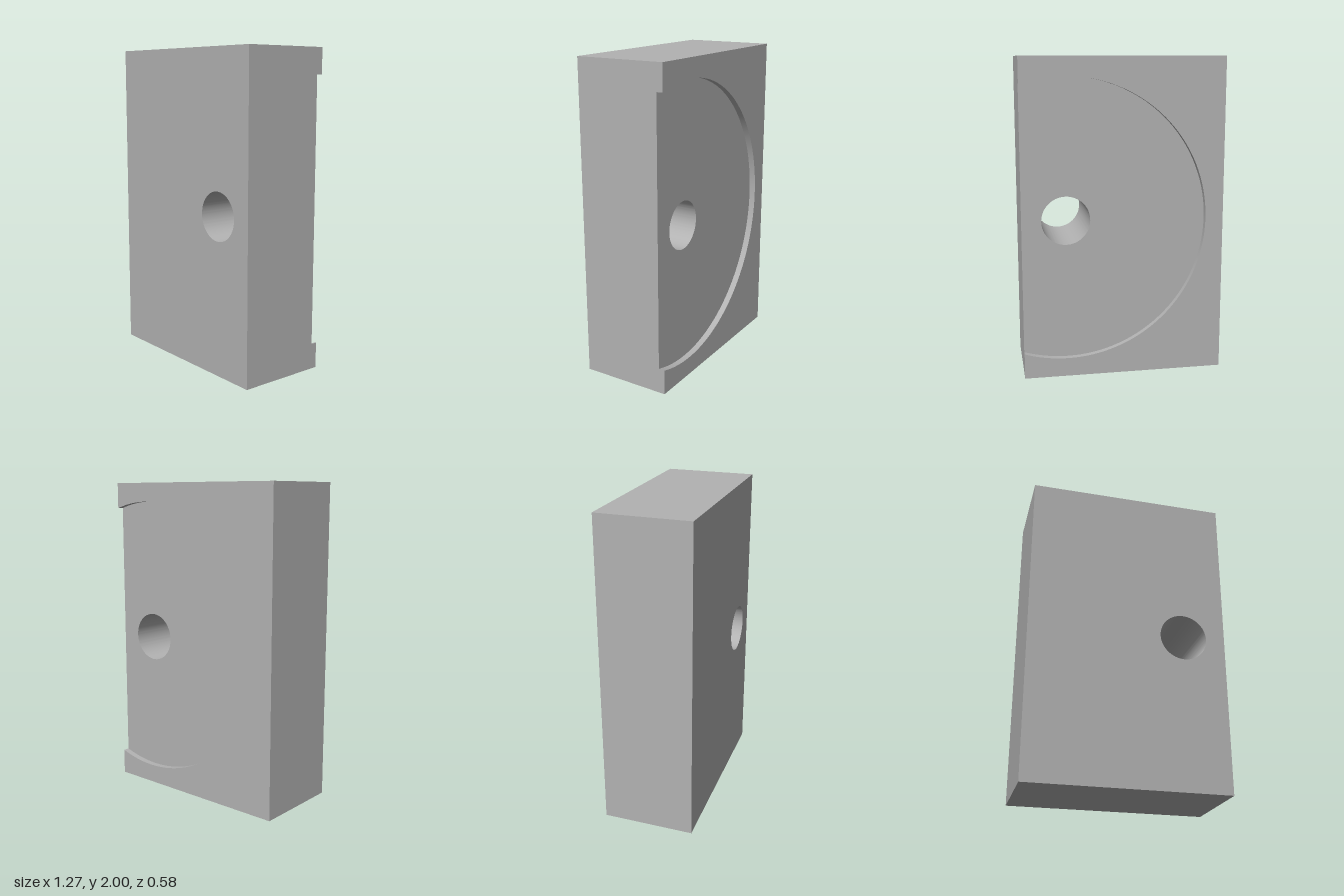
import * as THREE from 'three';
import { toCreasedNormals } from 'three/addons/utils/BufferGeometryUtils.js';

const W = 0.635, H = 2, BACK = -0.29, FLOOR = -0.25, FRONT = 0.29;
const CX = 0.36, CY = 1, HOLE_R = 0.152, RECESS_R = 0.882;
const OPEN = Math.acos((W - CX) / RECESS_R); // angle where the recess runs out of the side

// Extrude a shape from z0 to z1
function slab(shape, z0, z1) {
  return new THREE.ExtrudeGeometry(shape, { depth: z1 - z0, bevelEnabled: false, curveSegments: 64 })
    .translate(0, 0, z0);
}

// Keep either only the cap lying at height z, or everything except that cap
function filterCap(geometry, z, keepCap) {
  const p = geometry.attributes.position;
  const kept = [];
  for (let i = 0; i < p.count; i += 3) {
    const isCap = [0, 1, 2].every((k) => Math.abs(p.getZ(i + k) - z) < 1e-4);
    if (isCap !== keepCap) continue;
    for (let k = 0; k < 3; k++) kept.push(p.getX(i + k), p.getY(i + k), p.getZ(i + k));
  }
  const out = new THREE.BufferGeometry();
  out.setAttribute('position', new THREE.Float32BufferAttribute(kept, 3));
  return toCreasedNormals(out, 0.5);
}

function boreHole() {
  return new THREE.Path().absarc(CX, CY, HOLE_R, 0, Math.PI * 2, true);
}

export function createModel() {
  const group = new THREE.Group();
  const grey = new THREE.MeshStandardMaterial({ color: 0xb2b2b2 });
  grey.name = 'grey';
  const add = (name, geometry) => {
    const mesh = new THREE.Mesh(geometry, grey);
    mesh.name = name;
    group.add(mesh);
  };

  // Main block with the through hole, open towards the recess
  const block = new THREE.Shape();
  block.moveTo(-W, 0).lineTo(W, 0).lineTo(W, H).lineTo(-W, H).closePath();
  block.holes.push(boreHole());
  add('block', filterCap(slab(block, FLOOR, FRONT), FLOOR, false));

  // Raised border around the round recess
  const rim = new THREE.Shape();
  rim.moveTo(W, H).lineTo(-W, H).lineTo(-W, 0).lineTo(W, 0);
  rim.absarc(CX, CY, RECESS_R, -OPEN, OPEN, true);
  add('recessRim', filterCap(slab(rim, BACK, FLOOR), FLOOR, false));

  // Flat floor of the recess, pierced by the hole
  const floor = new THREE.Shape();
  floor.absarc(CX, CY, RECESS_R, OPEN, Math.PI * 2 - OPEN, false);
  floor.holes.push(boreHole());
  add('recessFloor', filterCap(slab(floor, FLOOR, FRONT), FLOOR, true));

  return group;
}
